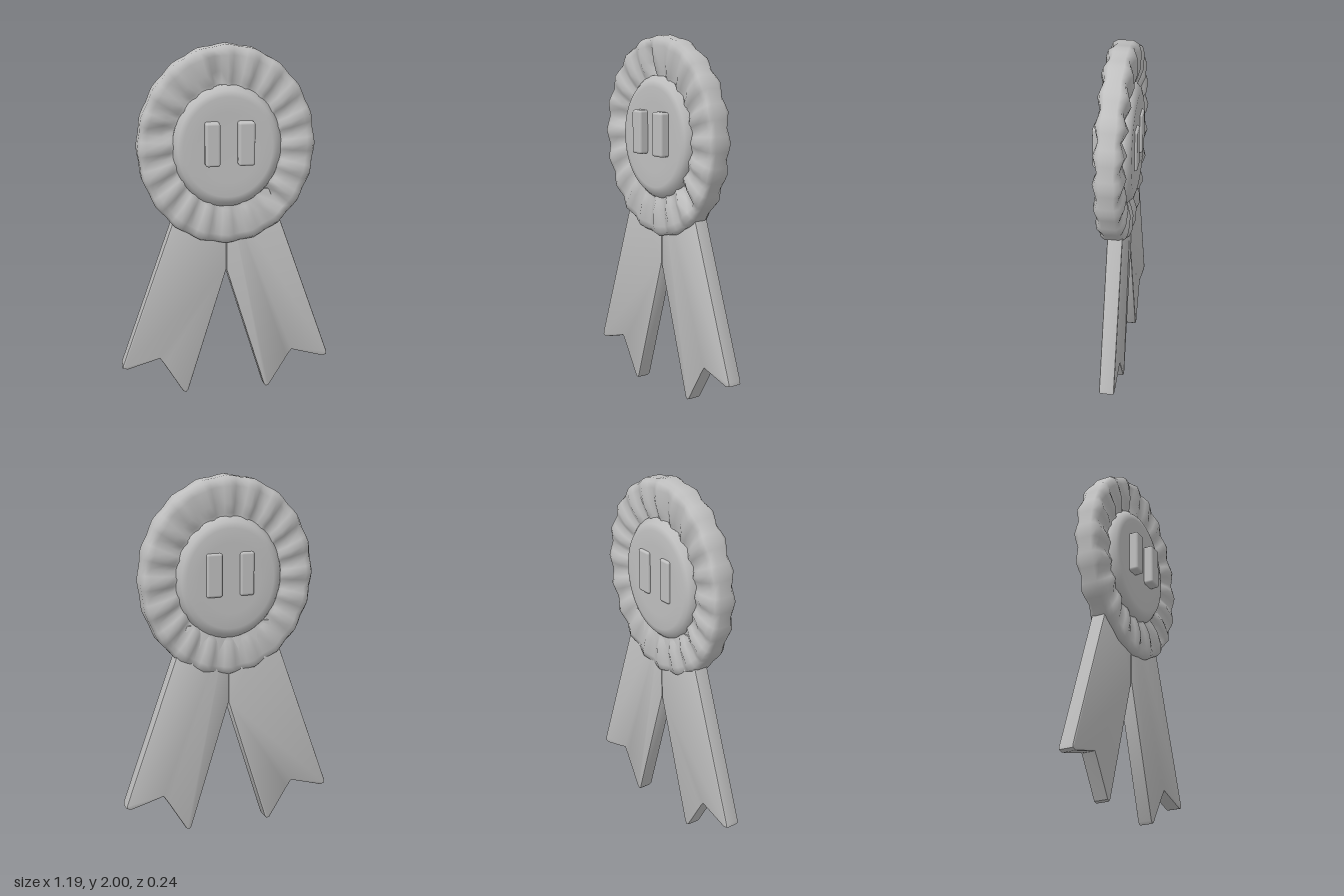
import * as THREE from 'three';
import { mergeVertices, toCreasedNormals } from 'three/addons/utils/BufferGeometryUtils.js';
import { RoundedBoxGeometry } from 'three/addons/geometries/RoundedBoxGeometry.js';

const CENTRE_Y = 1.45, RX = 0.49, RY = 0.55;
const PLEATS = 20, STEPS = 4;

// Closed surface swept round an ellipse; rows are [radius fraction, z, pleat depth].
function sweep(rows, folds = []) {
  const n = PLEATS * STEPS, pos = [], index = [];
  rows.forEach(([r, z, depth]) => {
    for (let i = 0; i < n; i++) {
      const a = (i / n) * Math.PI * 2;
      const wave = Math.cos(a * PLEATS);
      let dz = depth * wave;
      // a few pleats are pinched deeper on the front
      for (const f of folds) {
        const d = Math.atan2(Math.sin(a - f), Math.cos(a - f));
        if (depth > 0 && r < 0.8) dz -= 0.04 * Math.exp(-d * d * 180);
      }
      const rr = r * (r > 0.9 ? 0.992 + 0.008 * wave : 1);
      pos.push(Math.cos(a) * RX * rr, CENTRE_Y + Math.sin(a) * RY * rr, z + dz);
    }
  });
  for (let j = 0; j < rows.length - 1; j++) {
    for (let i = 0; i < n; i++) {
      const k = (i + 1) % n;
      const a = j * n + i, b = j * n + k, c = a + n, d = b + n;
      index.push(a, c, d, a, d, b);
    }
  }
  const g = new THREE.BufferGeometry();
  g.setAttribute('position', new THREE.Float32BufferAttribute(pos, 3));
  g.setIndex(index);
  const merged = mergeVertices(g, 1e-4);
  merged.computeVertexNormals();
  return merged;
}

export function createModel() {
  const grey = new THREE.MeshStandardMaterial({ color: 0xbfbfbf });
  grey.name = 'grey';
  const model = new THREE.Group();
  model.name = 'awardRosette';
  const add = (name, geometry) => {
    const mesh = new THREE.Mesh(geometry, grey);
    mesh.name = name;
    model.add(mesh);
    return mesh;
  };

  // Pleated ruffle, from the front centre over the rim to the back centre
  add('pleatedRuffle', sweep([
    [0, 0.03, 0], [0.56, 0.03, 0], [0.64, 0.04, 0.012], [0.74, 0.053, 0.015],
    [0.9, 0.054, 0.012], [0.97, 0.046, 0.008], [1, 0.025, 0.003],
    [1, -0.05, -0.003], [0.97, -0.075, -0.008], [0.9, -0.084, -0.012],
    [0.74, -0.083, -0.015], [0.64, -0.07, -0.012], [0.56, -0.06, 0], [0, -0.06, 0],
  ], [1.69, 2.86, 5.46]));

  // Raised centre disc, showing on both faces
  add('centreDisc', sweep([
    [0, 0.068, 0], [0.35, 0.07, 0], [0.5, 0.072, 0], [0.56, 0.064, 0], [0.61, 0.035, 0],
    [0.61, -0.065, 0], [0.56, -0.094, 0], [0.5, -0.104, 0], [0.35, -0.106, 0], [0, -0.102, 0],
  ]));

  // Two plain raised bars through the disc
  for (const [name, x, w] of [['rightBar', -0.09, 0.08], ['leftBar', 0.095, 0.09]]) {
    const bar = add(name, new RoundedBoxGeometry(w, 0.24, 0.24, 2, 0.014));
    bar.position.set(x, 1.475, 0);
  }

  // Two ribbon tails with notched ends
  for (const side of [-1, 1]) {
    const points = [
      [0, 1.2], [0, 0.74], [0.222, 0.02], [0.235, 0.005], [0.252, 0.012],
      [0.36, 0.19], [0.385, 0.226], [0.42, 0.215], [0.57, 0.172], [0.597, 0.18],
      [0.595, 0.2], [0.24, 1.2],
    ].map(([x, y]) => new THREE.Vector2(x * side, y));
    const tail = new THREE.ExtrudeGeometry(new THREE.Shape(points), {
      depth: 0.064, bevelEnabled: true, bevelThickness: 0.01,
      bevelSize: 0.008, bevelOffset: -0.008, bevelSegments: 2,
    });
    tail.translate(0, 0, -0.059);
    add(side > 0 ? 'leftRibbonTail' : 'rightRibbonTail', toCreasedNormals(tail, 0.6));
  }

  return model;
}
